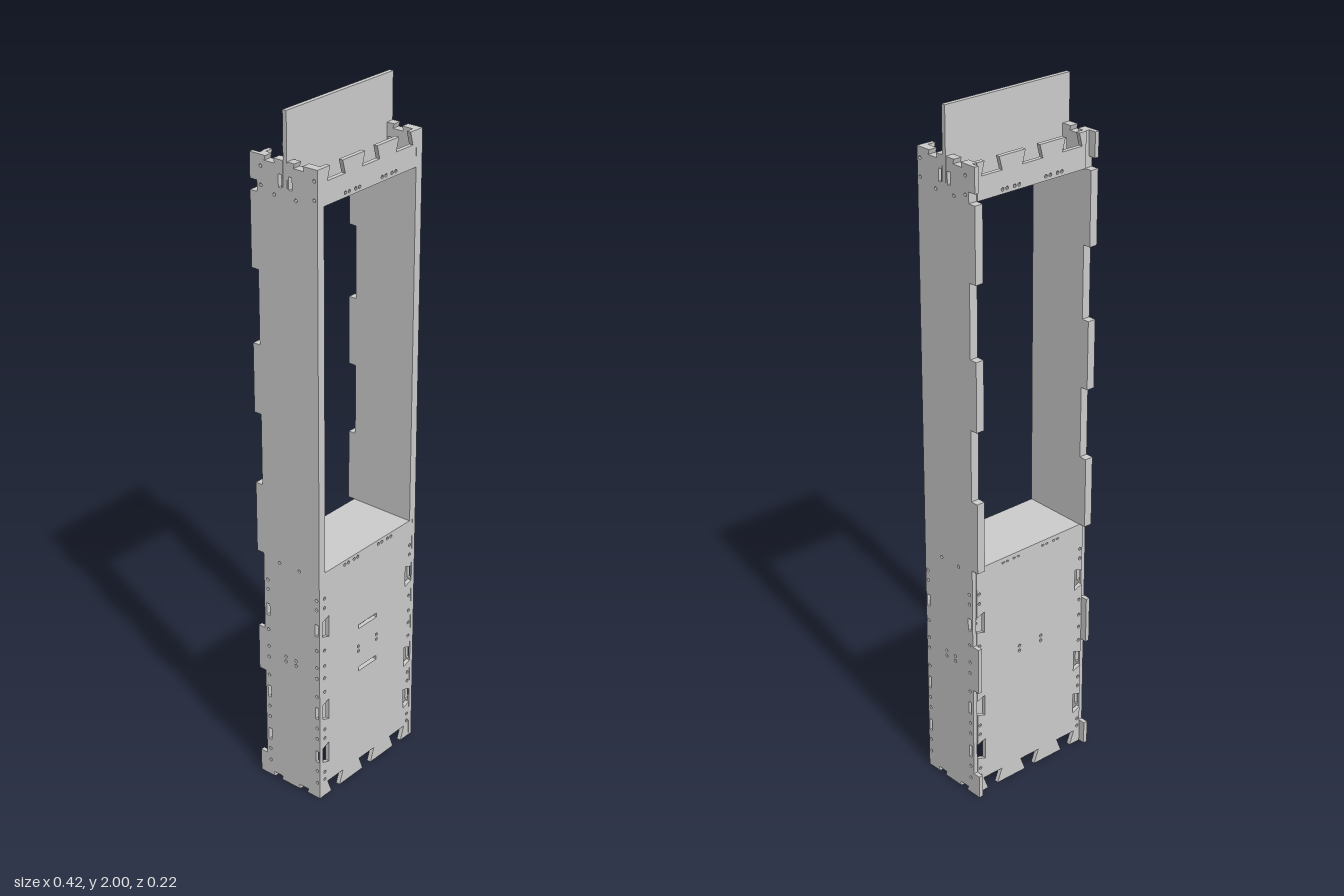
import * as THREE from 'three';

const T = 0.0125; // sheet thickness
const mat = new THREE.MeshStandardMaterial({ color: 0xcccccc, flatShading: true });

// Points from a towards b with inward cuts (counter-clockwise outline).
// Each cut: [distance along edge, half width at mouth, half width inside, depth]
function edge(a, b, cuts = []) {
  const d = new THREE.Vector2(b[0] - a[0], b[1] - a[1]).normalize();
  const at = (s, n) => new THREE.Vector2(a[0] + d.x * s - d.y * n, a[1] + d.y * s + d.x * n);
  const pts = [at(0, 0)];
  for (const [s, m, w, h] of cuts) pts.push(at(s - m, 0), at(s - w, h), at(s + w, h), at(s + m, 0));
  return pts;
}

function rectHole(x, y, w, h) {
  const p = new THREE.Path();
  p.moveTo(x - w / 2, y - h / 2);
  p.lineTo(x - w / 2, y + h / 2);
  p.lineTo(x + w / 2, y + h / 2);
  p.lineTo(x + w / 2, y - h / 2);
  p.closePath();
  return p;
}

function pin(x, y) {
  const p = new THREE.Path();
  p.absarc(x, y, 0.005, 0, Math.PI * 2, true);
  return p;
}

function sheet(name, points, holes = []) {
  const shape = new THREE.Shape(points);
  shape.holes.push(...holes);
  const geo = new THREE.ExtrudeGeometry(shape, { depth: T, bevelEnabled: false, curveSegments: 4 });
  const mesh = new THREE.Mesh(geo, mat);
  mesh.name = name;
  return mesh;
}

function box(name, w, h, d, x, y, z) {
  const mesh = new THREE.Mesh(new THREE.BoxGeometry(w, h, d), mat);
  mesh.name = name;
  mesh.position.set(x, y, z);
  return mesh;
}

// Lower front or back panel with dovetail cuts on three edges
function lowerPanel(name, z, withSlots) {
  const W = 0.195, H = 0.73;
  const sideCuts = [0.14, 0.285, 0.555];
  const dove = s => [s, 0.023, 0.033, 0.027];
  const pts = [
    ...edge([-W, 0], [W, 0], [-0.14, 0, 0.14].map(x => [x + W, 0.018, 0.034, 0.042])),
    ...edge([W, 0], [W, H], sideCuts.map(dove)),
    ...edge([W, H], [-W, H]),
    ...edge([-W, H], [-W, 0], sideCuts.map(y => H - y).reverse().map(dove)),
  ];
  const holes = [];
  for (const s of [-1, 1]) {
    for (const y of [0.055, 0.08, 0.195, 0.225, 0.35, 0.395, 0.435, 0.485, 0.62, 0.65]) holes.push(pin(s * 0.186, y));
    for (const x of [0.045, 0.06, 0.085, 0.1]) holes.push(pin(s * x, 0.717));
    for (const y of [0.41, 0.426]) holes.push(pin(s * 0.04, y));
  }
  if (withSlots) for (const y of [0.35, 0.49]) holes.push(rectHole(0, y, 0.08, 0.013));
  const m = sheet(name, pts, holes);
  m.position.z = z;
  return m;
}

// Panel above the window with dovetail cuts along its top
function headerPanel(name, z) {
  const W = 0.183, y0 = 1.77, y1 = 1.87;
  const pts = [
    ...edge([-W, y0], [W, y0]),
    ...edge([W, y0], [W, y1]),
    ...edge([W, y1], [-W, y1], [0.135, 0, -0.135].map(x => [W - x, 0.024, 0.034, 0.037])),
    ...edge([-W, y1], [-W, y0]),
  ];
  const holes = [];
  for (const s of [-1, 1]) for (const x of [0.045, 0.06, 0.085, 0.1]) holes.push(pin(s * x, 1.782));
  const m = sheet(name, pts, holes);
  m.position.z = z;
  return m;
}

// Side layer drawn in z and y; tabs stick out of its rear edge
function sideLayer(name, y0, tabs, xMax, holes, bottomCuts) {
  const F = 0.11, B = -0.087, R = -0.11, top = 1.87;
  const pts = [
    ...edge([B, y0], [F, y0], bottomCuts),
    ...edge([F, y0], [F, top]),
    // dovetails and the central slot that takes the sign board
    ...edge([F, top], [B, top], [[F - 0.05, 0.013, 0.017, 0.013], [F - 0.006, 0.0075, 0.0075, 0.07],
      [F + 0.045, 0.013, 0.017, 0.013]]),
    new THREE.Vector2(B, top),
  ];
  for (const [lo, hi] of tabs) {
    for (const [z, y] of [[B, hi], [R, hi], [R, lo], [B, lo]]) pts.push(new THREE.Vector2(z, y));
  }
  const clean = pts.filter((p, i) => p.distanceTo(pts[(i + 1) % pts.length]) > 1e-6);
  const m = sheet(name, clean, holes);
  m.rotation.y = -Math.PI / 2;
  m.position.x = xMax;
  return m;
}

export function createModel() {
  const g = new THREE.Group();
  g.name = 'displayStand';

  g.add(lowerPanel('lowerFrontPanel', 0.097, true), lowerPanel('lowerBackPanel', -0.09, false));
  g.add(headerPanel('frontHeader', 0.097), headerPanel('backHeader', -0.09));

  // Double side walls: full-height outer layer and liner beside the window
  const windowTabs = [[1.56, 1.77], [1.15, 1.35], [0.73, 0.94]];
  const outerTabs = [[1.8, 1.87], ...windowTabs, [0.35, 0.49], [0, 0.07]];
  const slots = () => [-0.011, 0.023].map(z => rectHole(z, 1.815, 0.01, 0.035));
  for (const s of [-1, 1]) {
    const holes = slots();
    for (const z of [-0.074, 0.1]) {
      for (const y of [0.05, 0.09, 0.2, 0.235, 0.34, 0.4, 0.435, 0.49, 0.62, 0.65, 1.79, 1.84]) holes.push(pin(z, y));
      for (const y of [0.14, 0.285, 0.555]) holes.push(rectHole(z, y, 0.011, 0.038));
    }
    for (const z of [-0.012, 0.025]) for (const y of [0.41, 0.426]) holes.push(pin(z, y));
    for (const z of [-0.03, 0.04]) holes.push(pin(z, 0.719), pin(z, 1.775));
    const cuts = [-0.045, 0.05].map(z => [z + 0.087, 0.013, 0.017, 0.013]);
    g.add(sideLayer(s > 0 ? 'leftOuterSide' : 'rightOuterSide', 0, outerTabs,
      s > 0 ? 0.208 : -0.208 + T, holes, cuts));
    g.add(sideLayer(s > 0 ? 'leftLiner' : 'rightLiner', 0.73, windowTabs,
      s > 0 ? 0.1955 : -0.1955 + T, slots(), []));
  }

  // Window floor and ceiling
  g.add(box('windowFloor', 0.388, T, 0.187, 0, 0.73 - T / 2, 0.0035));
  g.add(box('windowCeiling', 0.366, T, 0.175, 0, 1.77 + T / 2, 0.0095));

  // Upright sign board seated in the side slots
  const sign = sheet('signBoard', [[-0.183, 1.782], [0.183, 1.782], [0.183, 1.8], [0.208, 1.8], [0.208, 2],
    [-0.208, 2], [-0.208, 1.8], [-0.183, 1.8]].map(p => new THREE.Vector2(...p)));
  sign.position.z = 0;
  g.add(sign);
  return g;
}
